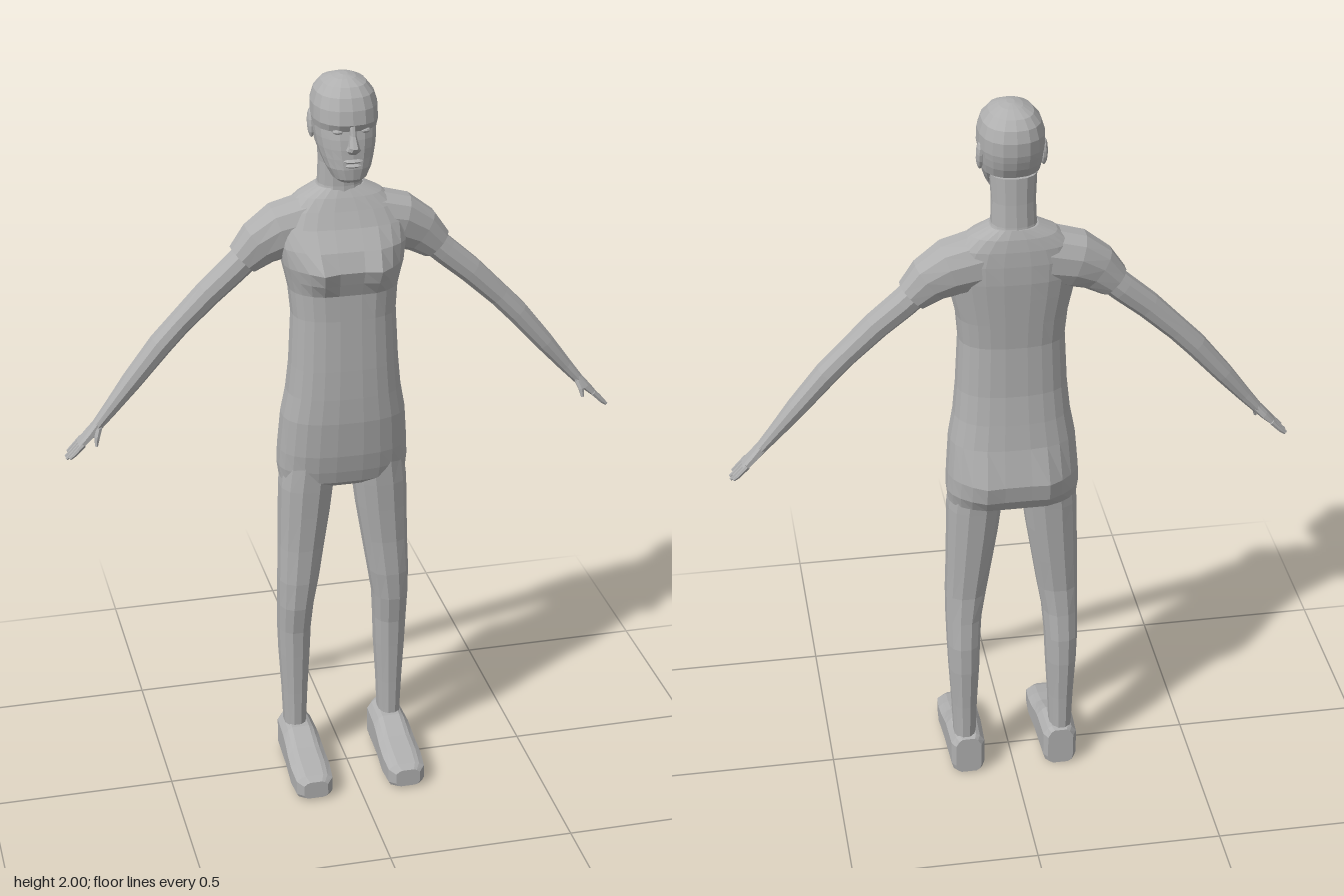
import * as THREE from 'three';

const V = (x, y, z) => new THREE.Vector3(x, y, z);
const bodyGrey = new THREE.MeshStandardMaterial({ color: 0xb0b0b0, flatShading: true });
bodyGrey.name = 'bodyGrey';

// Rounded cross-section around c, spanned by u and v; p < 1 makes it boxier
function ring(c, u, v, n = 12, p = 0.9) {
  const pw = (t) => Math.sign(t) * Math.abs(t) ** p;
  return Array.from({ length: n }, (_, i) => {
    const a = ((i + 0.5) / n) * Math.PI * 2;
    return c.clone().addScaledVector(u, pw(Math.cos(a))).addScaledVector(v, pw(Math.sin(a)));
  });
}

// Skin a row of rings and cap both ends; winding is turned outward by signed volume
function loft(rings) {
  const n = rings[0].length, pts = rings.flat(), idx = [];
  for (let r = 0; r < rings.length - 1; r++)
    for (let i = 0; i < n; i++) {
      const a = r * n + i, b = r * n + ((i + 1) % n);
      idx.push(a, b, b + n, a, b + n, a + n);
    }
  for (const [r, flip] of [[0, true], [rings.length - 1, false]]) {
    const c = pts.length;
    pts.push(rings[r].reduce((s, q) => s.add(q), V(0, 0, 0)).divideScalar(n));
    for (let i = 0; i < n; i++) {
      const a = r * n + i, b = r * n + ((i + 1) % n);
      idx.push(...(flip ? [b, a, c] : [a, b, c]));
    }
  }
  let vol = 0;
  for (let i = 0; i < idx.length; i += 3)
    vol += pts[idx[i]].dot(pts[idx[i + 1]].clone().cross(pts[idx[i + 2]]));
  if (vol < 0) idx.reverse();
  const g = new THREE.BufferGeometry().setFromPoints(pts);
  g.setIndex(idx);
  g.computeVertexNormals();
  return g;
}

// Level sections: [y, half width, front z, back z, centre x]
const levels = (rows, n, p) => loft(rows.map(([y, w, f, b, x = 0]) =>
  ring(V(x, y, (f + b) / 2), V(w, 0, 0), V(0, 0, (f - b) / 2), n, p)));

// Limb sections along a path in the xy plane: [x, y, half thickness, centre z, half depth]
function limb(rows, s, n = 10, p = 0.9) {
  return loft(rows.map(([x, y, h, z, d], i) => {
    const a = rows[Math.max(i - 1, 0)], b = rows[Math.min(i + 1, rows.length - 1)];
    const t = V(b[0] - a[0], b[1] - a[1], 0).normalize();
    return ring(V(s * x, y, z), V(-t.y * h * s, t.x * h, 0), V(0, 0, d), n, p);
  }));
}

export function createModel() {
  const model = new THREE.Group();
  model.name = 'standingFigure';
  const add = (name, geo, x = 0, y = 0, z = 0) => {
    const m = new THREE.Mesh(geo, bodyGrey);
    m.name = name;
    m.position.set(x, y, z);
    model.add(m);
    return m;
  };
  const bell = (t, w) => Math.exp(-((t / w) ** 2));

  // Torso, with chest and seat swelled in paired lobes
  const torso = levels([
    [0.865, 0.12, 0.0, -0.11], [0.885, 0.172, 0.025, -0.14], [0.92, 0.176, 0.035, -0.155],
    [0.97, 0.174, 0.045, -0.162], [1.07, 0.166, 0.055, -0.155], [1.14, 0.153, 0.056, -0.147],
    [1.22, 0.145, 0.055, -0.138], [1.36, 0.138, 0.05, -0.134], [1.43, 0.144, 0.045, -0.14],
    [1.465, 0.152, 0.048, -0.143], [1.5, 0.16, 0.053, -0.146], [1.55, 0.168, 0.045, -0.15],
    [1.6, 0.17, 0.015, -0.15], [1.64, 0.15, -0.005, -0.148], [1.672, 0.11, -0.02, -0.143],
    [1.695, 0.062, -0.033, -0.135],
  ], 24, 0.78);
  const P = torso.attributes.position;
  for (let i = 0; i < P.count; i++) {
    const x = Math.abs(P.getX(i)), y = P.getY(i), z = P.getZ(i);
    if (z > 0) P.setZ(i, z + 0.036 * bell(x - 0.07, 0.045) * bell(y - 1.495, 0.05));
    if (z < -0.09) P.setZ(i, z - 0.027 * bell(x - 0.075, 0.06) * bell(y - 0.955, 0.075));
  }
  torso.computeVertexNormals();
  add('torso', torso);

  // Neck and head
  add('neck', levels([
    [1.66, 0.07, -0.025, -0.14], [1.7, 0.058, -0.03, -0.133],
    [1.76, 0.056, -0.03, -0.128], [1.83, 0.06, -0.02, -0.125],
  ], 14));
  add('head', levels([
    [1.742, 0.03, 0.06, -0.012], [1.752, 0.044, 0.07, -0.03], [1.78, 0.059, 0.073, -0.05],
    [1.805, 0.068, 0.072, -0.085], [1.83, 0.075, 0.071, -0.115], [1.855, 0.079, 0.068, -0.128],
    [1.877, 0.081, 0.063, -0.135], [1.895, 0.084, 0.072, -0.139], [1.93, 0.083, 0.066, -0.14],
    [1.96, 0.074, 0.053, -0.131], [1.982, 0.056, 0.033, -0.112], [1.995, 0.03, 0.004, -0.076],
    [2.0, 0.01, -0.02, -0.05],
  ], 18, 0.85));

  // Face: nose, lips
  add('nose', levels([
    [1.822, 0.012, 0.08, 0.05], [1.832, 0.019, 0.093, 0.05],
    [1.842, 0.014, 0.1, 0.05], [1.87, 0.008, 0.082, 0.05], [1.893, 0.008, 0.074, 0.05],
  ], 8));
  for (const [name, y, w] of [['upperLip', 1.802, 0.026], ['lowerLip', 1.79, 0.022]])
    add(name, levels([[y - 0.006, w * 0.8, 0.072, 0.05], [y, w, 0.081, 0.05],
      [y + 0.005, w * 0.8, 0.073, 0.05]], 10));

  for (const s of [1, -1]) {
    const side = s > 0 ? 'left' : 'right';

    // Eyes and ears
    add(side + 'Eye', new THREE.SphereGeometry(1, 10, 6), s * 0.033, 1.876, 0.051).scale.set(0.016, 0.008, 0.012);
    const ear = add(side + 'Ear', new THREE.SphereGeometry(1, 10, 7), s * 0.08, 1.87, -0.055);
    ear.scale.set(0.01, 0.038, 0.02);
    ear.rotation.x = -0.15;

    // Short sleeve and arm
    add(side + 'Sleeve', limb([
      [0.08, 1.595, 0.08, -0.075, 0.07], [0.16, 1.578, 0.075, -0.077, 0.066],
      [0.215, 1.547, 0.062, -0.077, 0.053], [0.258, 1.507, 0.046, -0.077, 0.044],
    ], s, 12));
    add(side + 'Arm', limb([
      [0.22, 1.54, 0.038, -0.076, 0.038], [0.28, 1.485, 0.037, -0.075, 0.039],
      [0.35, 1.425, 0.035, -0.071, 0.037], [0.43, 1.347, 0.031, -0.069, 0.034],
      [0.48, 1.295, 0.031, -0.067, 0.034], [0.56, 1.2, 0.026, -0.063, 0.03],
      [0.62, 1.127, 0.019, -0.06, 0.022], [0.66, 1.08, 0.014, -0.058, 0.02],
    ], s));

    // Hand with four fingers and a thumb
    add(side + 'Palm', limb([
      [0.65, 1.092, 0.013, -0.058, 0.019], [0.675, 1.065, 0.012, -0.058, 0.026],
      [0.703, 1.037, 0.008, -0.058, 0.028],
    ], s, 8, 0.7));
    [0.733, 0.74, 0.74, 0.733].forEach((tip, i) => {
      const z = -0.082 + i * 0.016;
      add(side + 'Finger' + (i + 1), limb([
        [0.695, 1.045, 0.007, z, 0.007], [0.72, 1.019, 0.006, z, 0.006], [tip, 1.741 - tip, 0.004, z, 0.004],
      ], s, 6));
    });
    add(side + 'Thumb', limb([
      [0.652, 1.085, 0.009, -0.045, 0.009], [0.66, 1.063, 0.008, -0.034, 0.008],
      [0.663, 1.04, 0.004, -0.028, 0.005],
    ], s, 6));

    // Leg: [y, inner x, outer x, front z, back z]
    add(side + 'Leg', levels([
      [0.94, 0.02, 0.165, 0.025, -0.135], [0.86, 0.028, 0.174, 0.022, -0.128],
      [0.78, 0.038, 0.176, 0.018, -0.122], [0.68, 0.054, 0.178, 0.014, -0.115],
      [0.58, 0.07, 0.181, 0.015, -0.108], [0.5, 0.084, 0.181, 0.01, -0.112],
      [0.42, 0.09, 0.18, -0.005, -0.12], [0.34, 0.093, 0.177, -0.01, -0.12],
      [0.22, 0.1, 0.17, -0.016, -0.113], [0.1, 0.105, 0.165, -0.02, -0.11],
    ].map(([y, a, b, f, k]) => [y, (b - a) / 2, f, k, s * (a + b) / 2]), 12, 0.85));

    // Shoe sections: [z, half width, sole y, top y]
    add(side + 'Shoe', loft([
      [-0.118, 0.036, 0.004, 0.116], [-0.1, 0.047, 0, 0.12], [-0.01, 0.05, 0, 0.119],
      [0.02, 0.051, 0.004, 0.108], [0.06, 0.053, 0.004, 0.092], [0.11, 0.055, 0, 0.082],
      [0.165, 0.051, 0.002, 0.068], [0.185, 0.034, 0.008, 0.058],
    ].map(([z, w, lo, hi]) => {
      const r = ring(V(s * 0.13, (lo + hi) / 2, z), V(w, 0, 0), V(0, (hi - lo) / 2, 0), 12, 0.4);
      const k = r.reduce((m, q) => Math.max(m, Math.abs(q.y - (lo + hi) / 2)), 0);
      for (const q of r) {
        q.y = (lo + hi) / 2 + ((q.y - (lo + hi) / 2) / k) * ((hi - lo) / 2);
        if (q.y > (lo + hi) / 2 + k * 0.8) q.x = s * 0.13 + (q.x - s * 0.13) * 0.82;
      }
      return r;
    })));
  }
  return model;
}
